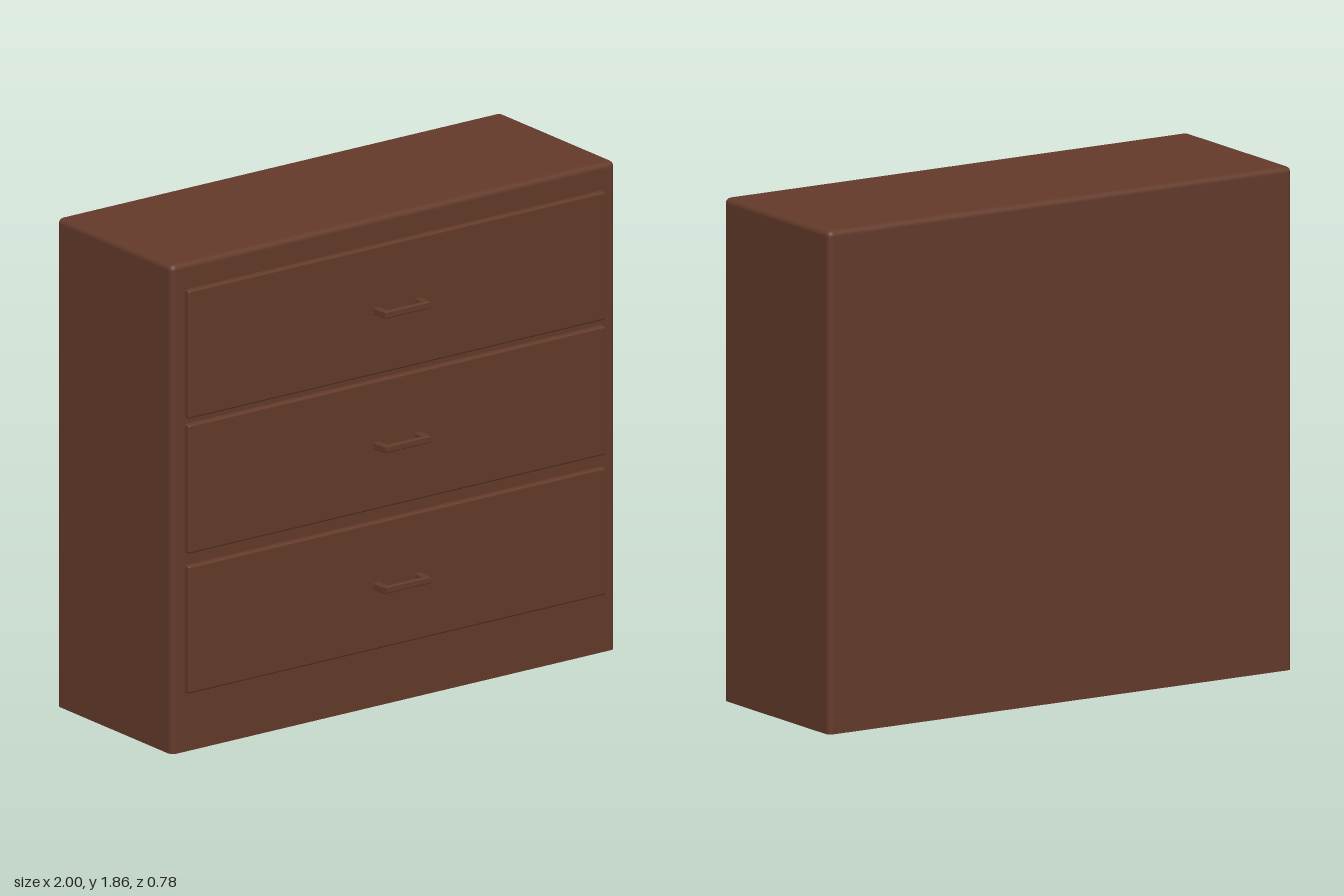
import * as THREE from 'three';
import { RoundedBoxGeometry } from 'three/addons/geometries/RoundedBoxGeometry.js';

const wood = new THREE.MeshStandardMaterial({ color: 0x633a2a });

// Rounded box standing on y = 0 whose underside is cut flat
function flatBottomBox(w, h, d, r) {
  const geo = new RoundedBoxGeometry(w, h + r, d, 3, r);
  geo.translate(0, (h - r) / 2, 0);
  const pos = geo.attributes.position, nor = geo.attributes.normal;
  for (let i = 0; i < pos.count; i += 3) {
    let low = true;
    for (let k = i; k < i + 3; k++) {
      if (pos.getY(k) < 1e-4) pos.setY(k, 0);
      else low = false;
    }
    if (low) for (let k = i; k < i + 3; k++) nor.setXYZ(k, 0, -1, 0);
  }
  return geo;
}

// Bracket pull: bar on two slightly splayed legs, drawn in plan and extruded in height
function handleGeometry() {
  const t = 0.02, bevel = 0.003;
  const plan = new THREE.Shape([
    [-0.105, 0], [-0.082, 0], [-0.082, 0.052], [0.082, 0.052],
    [0.082, 0], [0.105, 0], [0.099, 0.064], [-0.099, 0.064],
  ].map(([x, z]) => new THREE.Vector2(x, z)));
  const geo = new THREE.ExtrudeGeometry(plan, {
    depth: t, bevelEnabled: true, bevelSize: bevel, bevelThickness: bevel, bevelSegments: 1,
  });
  geo.translate(0, 0, -t / 2);
  geo.rotateX(Math.PI / 2);
  return geo;
}

export function createModel() {
  const group = new THREE.Group();
  const add = (name, geo, x, y, z) => {
    const mesh = new THREE.Mesh(geo, wood);
    mesh.name = name;
    mesh.position.set(x, y, z);
    group.add(mesh);
  };

  // Cabinet body
  add('cabinet', flatBottomBox(2, 1.86, 0.695, 0.022), 0, 0, -0.0425);

  // Three drawer fronts, each with a pull
  const handle = handleGeometry();
  const drawers = [
    ['bottom', 0.225, 0.71, 0.467],
    ['middle', 0.758, 1.248, 1.003],
    ['top', 1.272, 1.76, 1.515],
  ];
  for (const [name, y0, y1, handleY] of drawers) {
    const front = new RoundedBoxGeometry(1.88, y1 - y0, 0.06, 2, 0.008);
    add(name + 'Drawer', front, 0, (y0 + y1) / 2, 0.298);
    add(name + 'Handle', handle, 0, handleY, 0.325);
  }
  return group;
}
